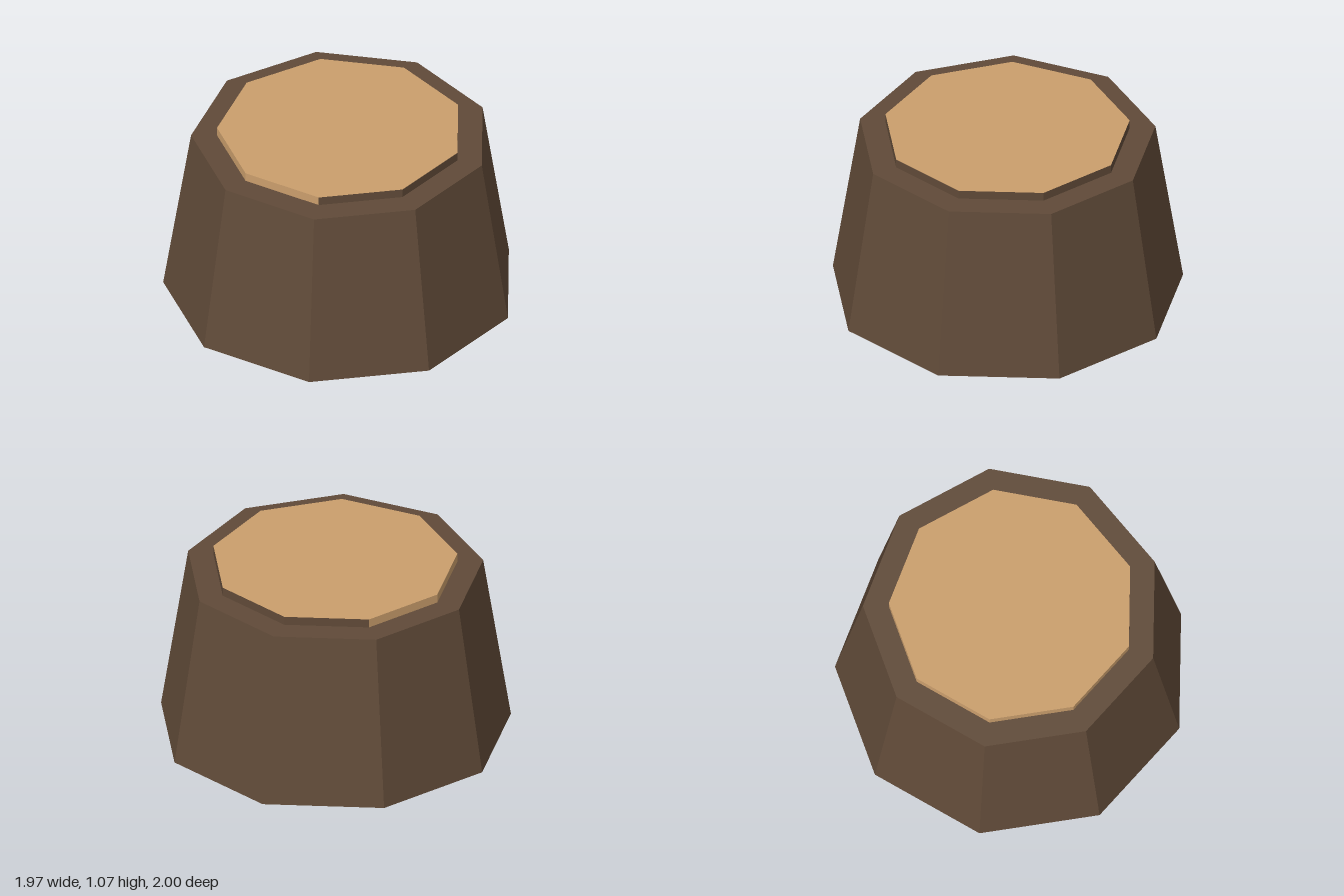
import * as THREE from 'three';

const SIDES = 9;
const STEP = (Math.PI * 2) / SIDES;
const START = Math.PI / 2; // one corner points along +x

export function createModel() {
  const bark = new THREE.MeshStandardMaterial({ color: 0x604a38 });
  bark.name = 'bark';
  const wood = new THREE.MeshStandardMaterial({ color: 0xca9e6c });
  wood.name = 'cutWood';
  // Duplicate corners so that every side has a flat normal
  bark.flatShading = wood.flatShading = true;

  const model = new THREE.Group();
  model.name = 'treeStump';
  const add = (name, geometry, material, y) => {
    const mesh = new THREE.Mesh(geometry, material);
    mesh.name = name;
    mesh.position.set(-0.03, y, 0); // centres the odd-sided outline
    model.add(mesh);
    return mesh;
  };

  const bodyHeight = 1.018, slabHeight = 0.052, slabRadius = 0.708;

  // Tapered trunk
  add('trunk', new THREE.CylinderGeometry(0.856, 1.015, bodyHeight, SIDES, 1, false, START),
    bark, bodyHeight / 2);

  // Raised slab: cut wood on four sides, bark on the other five
  const rim = (first, count) => new THREE.CylinderGeometry(
    slabRadius, slabRadius, slabHeight, count, 1, true, START + first * STEP, count * STEP);
  add('slabWoodEdge', rim(2, 4), wood, bodyHeight + slabHeight / 2);
  add('slabBarkEdge', rim(6, 5), bark, bodyHeight + slabHeight / 2);

  // Cut face on top
  const face = new THREE.CircleGeometry(slabRadius, SIDES).rotateX(-Math.PI / 2);
  add('cutFace', face, wood, bodyHeight + slabHeight);

  return model;
}
